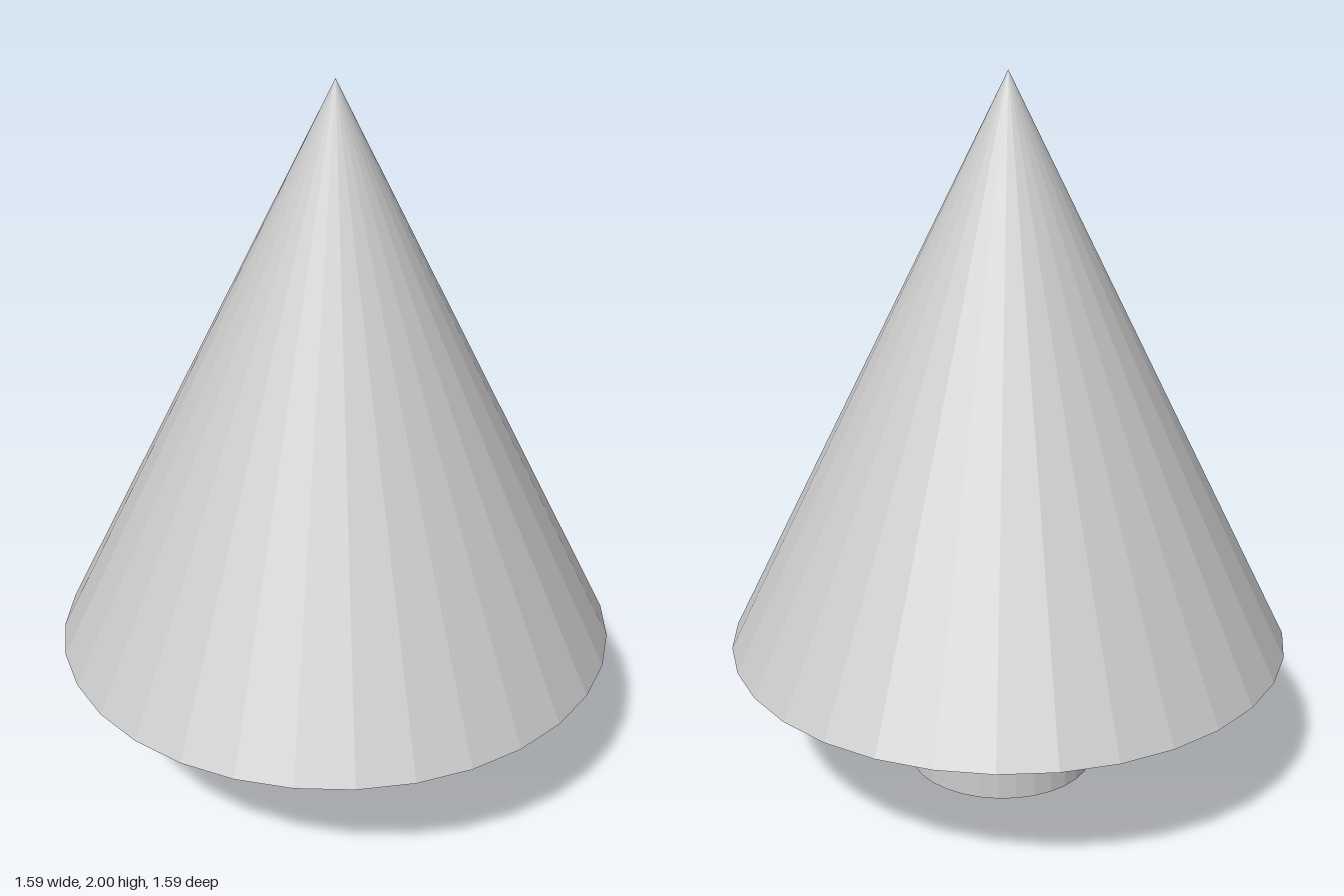
import * as THREE from 'three';

export function createModel() {
  const group = new THREE.Group();
  const material = new THREE.MeshStandardMaterial({ color: 0xcccccc, flatShading: true });
  const baseY = 0.405, sides = 32;

  // Conical foliage with a closed underside
  const foliageHeight = 2 - baseY;
  const foliage = new THREE.Mesh(new THREE.ConeGeometry(0.794, foliageHeight, sides), material);
  foliage.name = 'foliage';
  foliage.position.y = baseY + foliageHeight / 2;
  group.add(foliage);

  // Slightly oval trunk, set a little off centre
  const trunk = new THREE.Mesh(new THREE.CylinderGeometry(1, 1, baseY, sides), material);
  trunk.name = 'trunk';
  trunk.scale.set(0.271, 1, 0.257);
  trunk.position.set(0.02, baseY / 2, -0.013);
  group.add(trunk);

  return group;
}
